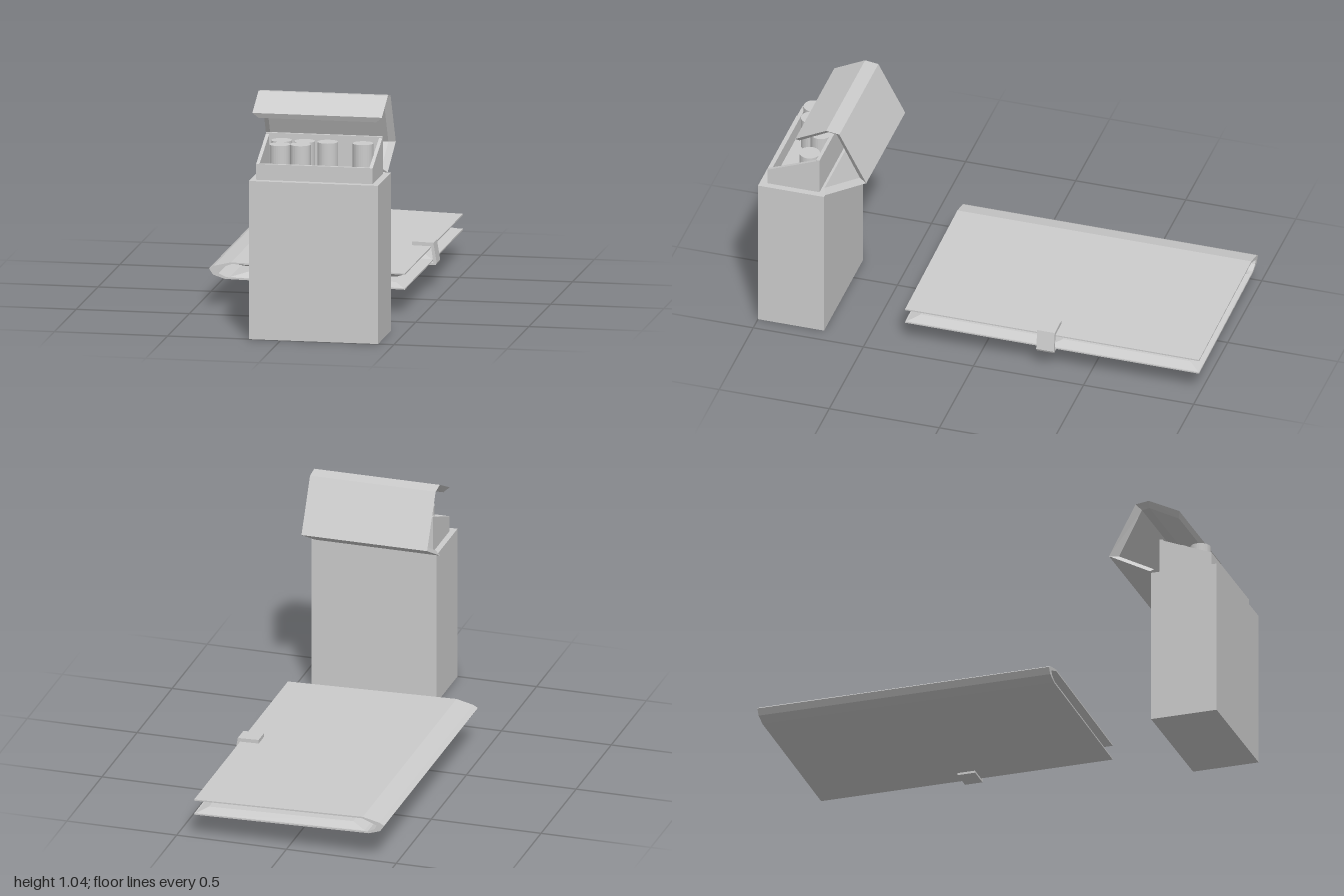
import * as THREE from 'three';
import { ConvexGeometry } from 'three/addons/geometries/ConvexGeometry.js';

const material = new THREE.MeshStandardMaterial({ color: 0xcccccc, flatShading: true });

function addMesh(parent, name, geometry, x = 0, y = 0, z = 0) {
  const mesh = new THREE.Mesh(geometry, material);
  mesh.name = name;
  mesh.position.set(x, y, z);
  parent.add(mesh);
  return mesh;
}

// Box given by its limits on each axis
function addBox(parent, name, [x0, x1], [y0, y1], [z0, z1]) {
  return addMesh(parent, name, new THREE.BoxGeometry(x1 - x0, y1 - y0, z1 - z0),
    (x0 + x1) / 2, (y0 + y1) / 2, (z0 + z1) / 2);
}

function extrude(points, depth) {
  const shape = new THREE.Shape(points.map(p => new THREE.Vector2(...p)));
  return new THREE.ExtrudeGeometry(shape, { depth, bevelEnabled: false });
}

// Folded sheet along x: the inner profile is narrower, so the side edges slope
function foldedSheet(outer, inner, x0, x1, inset) {
  const rings = outer.map(([z, y], i) => {
    const [zi, yi] = inner[i];
    return [[x0, y, z], [x1, y, z], [x1 - inset, yi, zi], [x0 + inset, yi, zi]];
  });
  const positions = [];
  const quad = (a, b, c, d) => [a, b, c, a, c, d].forEach(p => positions.push(...p));
  for (let i = 0; i < rings.length - 1; i++) {
    for (let k = 0; k < 4; k++) {
      const n = (k + 1) % 4;
      quad(rings[i][k], rings[i][n], rings[i + 1][n], rings[i + 1][k]);
    }
  }
  const [a, b, c, d] = rings[0];
  quad(a, d, c, b);
  quad(...rings[rings.length - 1]);
  const geometry = new THREE.BufferGeometry();
  geometry.setAttribute('position', new THREE.Float32BufferAttribute(positions, 3));
  geometry.computeVertexNormals();
  return geometry;
}

function createPack() {
  const pack = new THREE.Group();
  pack.name = 'pack';
  addBox(pack, 'packBody', [-0.14, 0.43], [0, 0.7], [0.7, 1]);

  // Inner sleeve with a sloping rim
  addBox(pack, 'sleeveFront', [-0.115, 0.4], [0.7, 0.77], [0.95, 0.967]);
  addBox(pack, 'sleeveBack', [-0.115, 0.4], [0.7, 0.865], [0.73, 0.745]);
  const side = [[0.967, 0.7], [0.967, 0.77], [0.73, 0.865], [0.73, 0.7]];
  for (const x of [-0.1, 0.4]) {
    addMesh(pack, 'sleeveSide', extrude(side, 0.015).rotateY(-Math.PI / 2), x);
  }

  // Sticks: four in the back row, two in front
  const sticks = [[-0.035, 0.795], [0.067, 0.798], [0.168, 0.795], [0.325, 0.798],
    [-0.025, 0.887], [0.063, 0.872]];
  for (const [x, z] of sticks) {
    addMesh(pack, 'stick', new THREE.CylinderGeometry(0.045, 0.045, 0.145, 32), x, 0.7725, z);
  }

  // Open lid, from its front flap over the top and back to the hinge
  const outer = [[0.835, 0.968], [0.695, 1.038], [0.635, 1.03], [0.513, 0.8], [0.7, 0.7]];
  const inner = [[0.825, 0.945], [0.69, 1.016], [0.655, 1.01], [0.55, 0.805], [0.71, 0.72]];
  addMesh(pack, 'lid', foldedSheet(outer, inner, -0.157, 0.415, 0.026));
  return pack;
}

function createFolder() {
  const folder = new THREE.Group();
  folder.name = 'folder';

  // Two cover leaves joined by a thick pointed spine
  const cover = [[0.42, 0.18], [-0.348, 0.2], [-0.425, 0.182], [-0.445, 0.17], [-0.427, 0.143],
    [-0.375, 0.126], [0.42, 0.108], [0.42, 0.114], [-0.37, 0.134], [-0.402, 0.15],
    [-0.41, 0.168], [-0.345, 0.193], [0.42, 0.174]];
  addMesh(folder, 'cover', extrude(cover, 1.335), 0, 0, -1);

  // Bevelled lining pads, two on the inside of each leaf
  const pads = [
    { start: -0.345, y0: 0.195, y1: 0.175, tip: 0.153, end: 0.176 },
    { start: -0.365, y0: 0.131, y1: 0.149, tip: 0.13, end: 0.112 },
  ];
  for (const p of pads) {
    for (const [z0, z1] of [[-1, -0.31], [-0.31, 0.335]]) {
      const corners = [];
      for (const [z, zi] of [[z0, z0 + 0.055], [z1, z1 - 0.055]]) {
        corners.push(
          new THREE.Vector3(p.start, p.y0, z), new THREE.Vector3(0.42, p.end, z),
          new THREE.Vector3(-0.287, p.y1, zi), new THREE.Vector3(0.37, p.tip, zi));
      }
      addMesh(folder, 'liningPad', new ConvexGeometry(corners));
    }
  }

  // Clasp strap wrapped round the open edge
  const clasp = [[0.335, 0.2], [0.43, 0.197], [0.445, 0.108], [0.44, 0.098], [0.34, 0.1],
    [0.34, 0.11], [0.43, 0.108], [0.42, 0.181], [0.335, 0.183]];
  addMesh(folder, 'clasp', extrude(clasp, 0.08), 0, 0, -0.348);
  return folder;
}

export function createModel() {
  const model = new THREE.Group();
  model.name = 'packAndFolder';
  model.add(createPack(), createFolder());
  return model;
}
